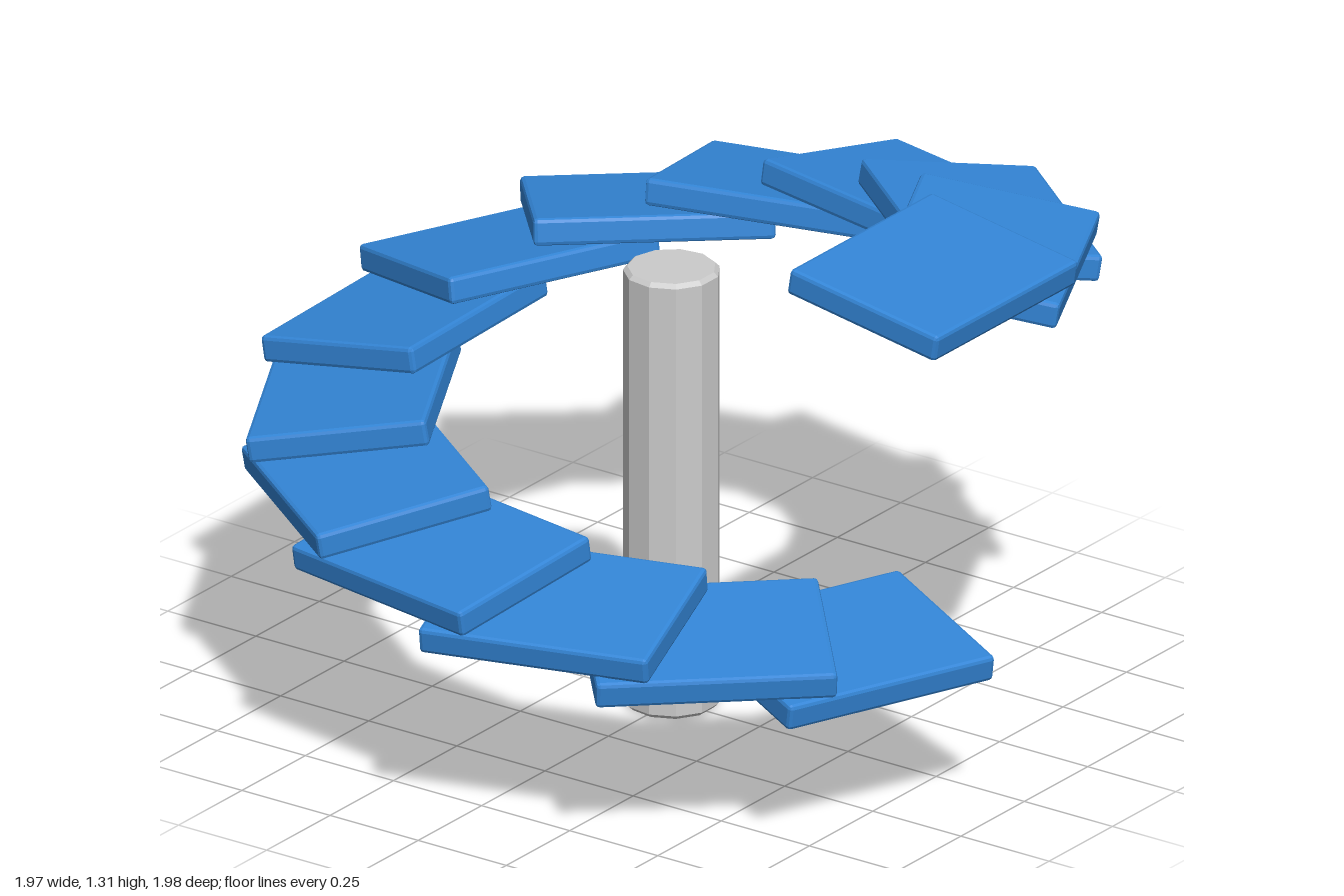
import * as THREE from 'three';
import { RoundedBoxGeometry } from 'three/addons/geometries/RoundedBoxGeometry.js';

const STEPS = 14;
const FIRST_ANGLE = 22, TURN = 26; // degrees
const FIRST_HEIGHT = 0.397, RISE = 0.0655;
const RADIUS = 0.74, TILT = 9.3;

export function createModel() {
  const model = new THREE.Group();
  model.name = 'spiralStair';
  const blue = new THREE.MeshStandardMaterial({ color: 0x3385d6, flatShading: true });
  const grey = new THREE.MeshStandardMaterial({ color: 0xcccccc, flatShading: true });

  // Central column: eleven sides with small bevels at both ends
  const r = 0.113, h = 1.09, b = 0.01;
  const profile = [[0, 0], [r - b, 0], [r, b], [r, h - b], [r - b, h], [0, h]]
    .map(([x, y]) => new THREE.Vector2(x, y));
  const column = new THREE.Mesh(new THREE.LatheGeometry(profile, 11, -Math.PI / 2), grey);
  column.name = 'column';
  model.add(column);

  // Treads climb around the column, each sloping down towards its outer edge
  const treadGeometry = new RoundedBoxGeometry(0.425, 0.065, 0.56, 1, 0.01);
  for (let i = 0; i < STEPS; i++) {
    const angle = THREE.MathUtils.degToRad(FIRST_ANGLE + i * TURN);
    const tread = new THREE.Mesh(treadGeometry, blue);
    tread.name = `tread${i + 1}`;
    tread.position.set(RADIUS * Math.cos(angle), FIRST_HEIGHT + i * RISE, RADIUS * Math.sin(angle));
    tread.rotation.set(0, -angle, -THREE.MathUtils.degToRad(TILT));
    model.add(tread);
  }
  return model;
}
